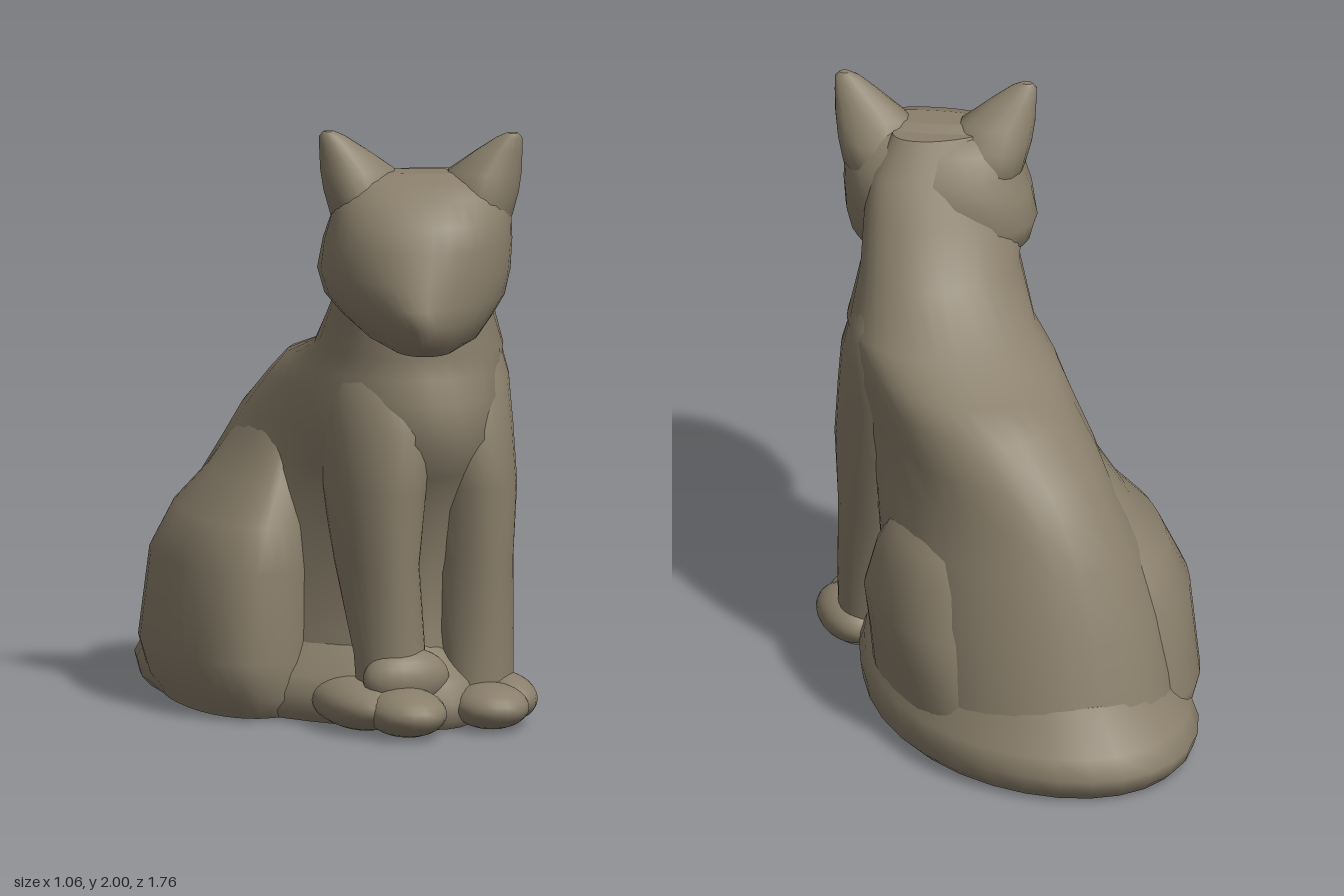
import * as THREE from 'three';

const fur = new THREE.MeshStandardMaterial({ color: 0x8a7f6b });
fur.name = 'greyBrownClay';

// Stack of rounded rings: [y, zBack, zFront, xBack, xFront, halfWidthBack, halfWidthFront]
function loft(name, rings, power = 0.85, seg = 32) {
  const pos = [], idx = [];
  const bend = v => Math.sign(v) * Math.abs(v) ** power;
  const addRing = ([y, z0, z1, xB, xF, wB, wF]) => {
    for (let j = 0; j < seg; j++) {
      const a = (j / seg) * Math.PI * 2, t = (1 + bend(Math.cos(a))) / 2;
      pos.push(xB + (xF - xB) * t + (wB + (wF - wB) * t * t) * bend(Math.sin(a)), y, z0 + (z1 - z0) * t);
    }
  };
  rings.forEach(addRing);
  for (let i = 0; i < rings.length - 1; i++) {
    for (let j = 0; j < seg; j++) {
      const a = i * seg + j, b = i * seg + (j + 1) % seg;
      idx.push(a, b, a + seg, b, b + seg, a + seg);
    }
  }
  // flat caps with their own vertices
  [rings[0], rings[rings.length - 1]].forEach((r, k) => {
    const s = pos.length / 3;
    addRing(r);
    pos.push((r[3] + r[4]) / 2, r[0], (r[1] + r[2]) / 2);
    for (let j = 0; j < seg; j++) {
      const a = s + j, b = s + (j + 1) % seg;
      if (k) idx.push(a, b, s + seg); else idx.push(b, a, s + seg);
    }
  });
  const g = new THREE.BufferGeometry();
  g.setAttribute('position', new THREE.Float32BufferAttribute(pos, 3));
  g.setIndex(idx);
  g.computeVertexNormals();
  return named(name, g);
}

function named(name, geometry) {
  const m = new THREE.Mesh(geometry, fur);
  m.name = name;
  return m;
}

function ball(name, x, y, z, rx, ry, rz) {
  const m = named(name, new THREE.SphereGeometry(1, 20, 14));
  m.position.set(x, y, z);
  m.scale.set(rx, ry, rz);
  return m;
}

export function createModel() {
  const cat = new THREE.Group();
  cat.name = 'sittingCat';

  // Torso, sloping back and neck
  cat.add(loft('torso', [
    [0.06, -0.8, 0.5, -0.04, 0.15, 0.46, 0.26],
    [0.3, -0.73, 0.46, -0.04, 0.15, 0.45, 0.26],
    [0.5, -0.68, 0.47, -0.03, 0.15, 0.43, 0.26],
    [0.72, -0.6, 0.53, -0.01, 0.15, 0.38, 0.28],
    [0.85, -0.54, 0.6, 0.02, 0.15, 0.34, 0.3],
    [0.97, -0.46, 0.67, 0.05, 0.15, 0.33, 0.31],
    [1.1, -0.33, 0.66, 0.1, 0.15, 0.32, 0.33],
    [1.18, -0.22, 0.63, 0.12, 0.15, 0.31, 0.33],
    [1.25, 0, 0.62, 0.14, 0.15, 0.3, 0.31],
    [1.42, 0.17, 0.62, 0.13, 0.11, 0.27, 0.26],
    [1.6, 0.27, 0.62, 0.09, 0.09, 0.27, 0.26],
    [1.73, 0.34, 0.6, 0.06, 0.09, 0.25, 0.24],
    [1.85, 0.4, 0.57, 0.03, 0.09, 0.18, 0.18],
  ], 0.95));

  // Flaring base, where the tail wraps round the left side to the paws
  cat.add(loft('tailAndBase', [
    [0.01, -0.82, 0.6, -0.06, 0.15, 0.48, 0.28],
    [0.04, -0.85, 0.63, -0.06, 0.15, 0.51, 0.31],
    [0.1, -0.88, 0.64, -0.06, 0.15, 0.52, 0.32],
    [0.16, -0.83, 0.6, -0.05, 0.15, 0.51, 0.3],
    [0.22, -0.78, 0.52, -0.04, 0.14, 0.47, 0.26],
    [0.3, -0.73, 0.42, -0.03, 0.13, 0.43, 0.24],
  ], 1));

  // Thighs: each row gives y, zBack, zFront and the outermost x; the rear tucks in to the rump
  const thigh = (name, side, rows) => cat.add(loft(name, rows.map(([y, z0, z1, reach]) => {
    const c = side * (reach / 2 + 0.01), w = reach / 2 - 0.01;
    return [y, z0, z1, c - side * 0.04, c + side * 0.04, w, w - 0.03];
  }), 0.85));
  thigh('rightHaunch', -1, [
    [0.01, -0.56, 0.18, 0.46], [0.08, -0.62, 0.24, 0.5], [0.2, -0.62, 0.25, 0.54], [0.5, -0.56, 0.25, 0.52],
    [0.65, -0.5, 0.22, 0.45], [0.77, -0.43, 0.16, 0.34], [0.9, -0.36, 0.12, 0.26], [1.02, -0.24, 0.08, 0.19],
  ]);
  thigh('leftHaunch', 1, [
    [0.04, -0.55, 0.22, 0.46], [0.1, -0.58, 0.23, 0.49], [0.3, -0.52, 0.22, 0.51], [0.45, -0.47, 0.21, 0.53],
    [0.6, -0.42, 0.18, 0.49], [0.7, -0.38, 0.13, 0.45], [0.77, -0.32, 0.06, 0.37],
  ]);

  // Forelegs, sinking into the shoulders
  cat.add(loft('leftForeleg', [
    [0.02, 0.4, 0.59, 0.32, 0.31, 0.12, 0.11], [0.25, 0.34, 0.59, 0.33, 0.32, 0.13, 0.1],
    [0.55, 0.24, 0.6, 0.33, 0.32, 0.14, 0.11], [0.8, 0.16, 0.63, 0.32, 0.31, 0.16, 0.14],
    [1.0, 0.12, 0.63, 0.31, 0.28, 0.175, 0.16], [1.15, 0.12, 0.57, 0.31, 0.29, 0.17, 0.16],
    [1.27, 0.17, 0.53, 0.3, 0.28, 0.16, 0.13], [1.42, 0.26, 0.5, 0.28, 0.26, 0.1, 0.09],
  ], 0.95));
  cat.add(loft('rightForeleg', [
    [0.02, 0.4, 0.59, 0.01, 0.01, 0.12, 0.11], [0.25, 0.34, 0.59, 0.01, 0.01, 0.12, 0.1],
    [0.55, 0.24, 0.6, -0.02, -0.01, 0.13, 0.11], [0.8, 0.18, 0.63, -0.03, -0.01, 0.15, 0.14],
    [1.0, 0.16, 0.63, -0.02, 0.02, 0.17, 0.16], [1.15, 0.2, 0.57, 0, 0.03, 0.17, 0.15],
    [1.3, 0.28, 0.5, 0.03, 0.03, 0.13, 0.11],
  ], 0.95));

  // Paws
  cat.add(ball('leftPaw', 0.3, 0.08, 0.61, 0.125, 0.075, 0.15));
  cat.add(ball('leftTailTip', 0.39, 0.09, 0.52, 0.1, 0.08, 0.16));
  cat.add(ball('rightPaw', -0.01, 0.085, 0.62, 0.13, 0.08, 0.17));
  cat.add(ball('rightPawTop', 0.03, 0.18, 0.54, 0.15, 0.1, 0.09));
  cat.add(ball('rightHindPaw', -0.09, 0.09, 0.42, 0.13, 0.085, 0.25));

  // Head, turned toward the right
  const head = new THREE.Group();
  head.name = 'head';
  head.position.set(0.09, 0, 0.53);
  head.rotation.y = -0.48;
  head.add(loft('skull', [
    [1.29, 0.05, 0.25, 0.01, 0.02, 0.1, 0.07],
    [1.33, -0.08, 0.33, 0, 0.02, 0.2, 0.09],
    [1.4, -0.16, 0.38, -0.03, 0.02, 0.28, 0.1],
    [1.46, -0.2, 0.38, -0.04, 0.01, 0.33, 0.13],
    [1.54, -0.22, 0.35, -0.04, 0, 0.345, 0.19],
    [1.64, -0.22, 0.32, -0.02, 0, 0.33, 0.23],
    [1.72, -0.2, 0.28, 0, 0, 0.31, 0.24],
    [1.8, -0.15, 0.2, 0, 0, 0.29, 0.24],
    [1.84, -0.1, 0.13, 0, 0, 0.25, 0.22],
    [1.865, -0.03, 0.06, 0, 0, 0.18, 0.18],
  ], 0.9));

  // Ears, broad at the base and leaning outward
  for (const s of [-1, 1]) {
    head.add(loft(s > 0 ? 'leftEar' : 'rightEar', [
      [1.6, -0.08, 0.1, 0.16 * s, 0.16 * s, 0.08, 0.08],
      [1.72, -0.14, 0.14, 0.18 * s, 0.18 * s, 0.125, 0.1],
      [1.8, -0.12, 0.14, 0.18 * s, 0.2 * s, 0.14, 0.1],
      [1.87, -0.07, 0.115, 0.2 * s, 0.22 * s, 0.13, 0.09],
      [1.94, -0.02, 0.085, 0.255 * s, 0.26 * s, 0.08, 0.06],
      [1.985, 0.015, 0.07, 0.29 * s, 0.29 * s, 0.045, 0.035],
      [2.0, 0.03, 0.055, 0.3 * s, 0.3 * s, 0.02, 0.015],
    ], 1, 16));
  }
  cat.add(head);
  return cat;
}
